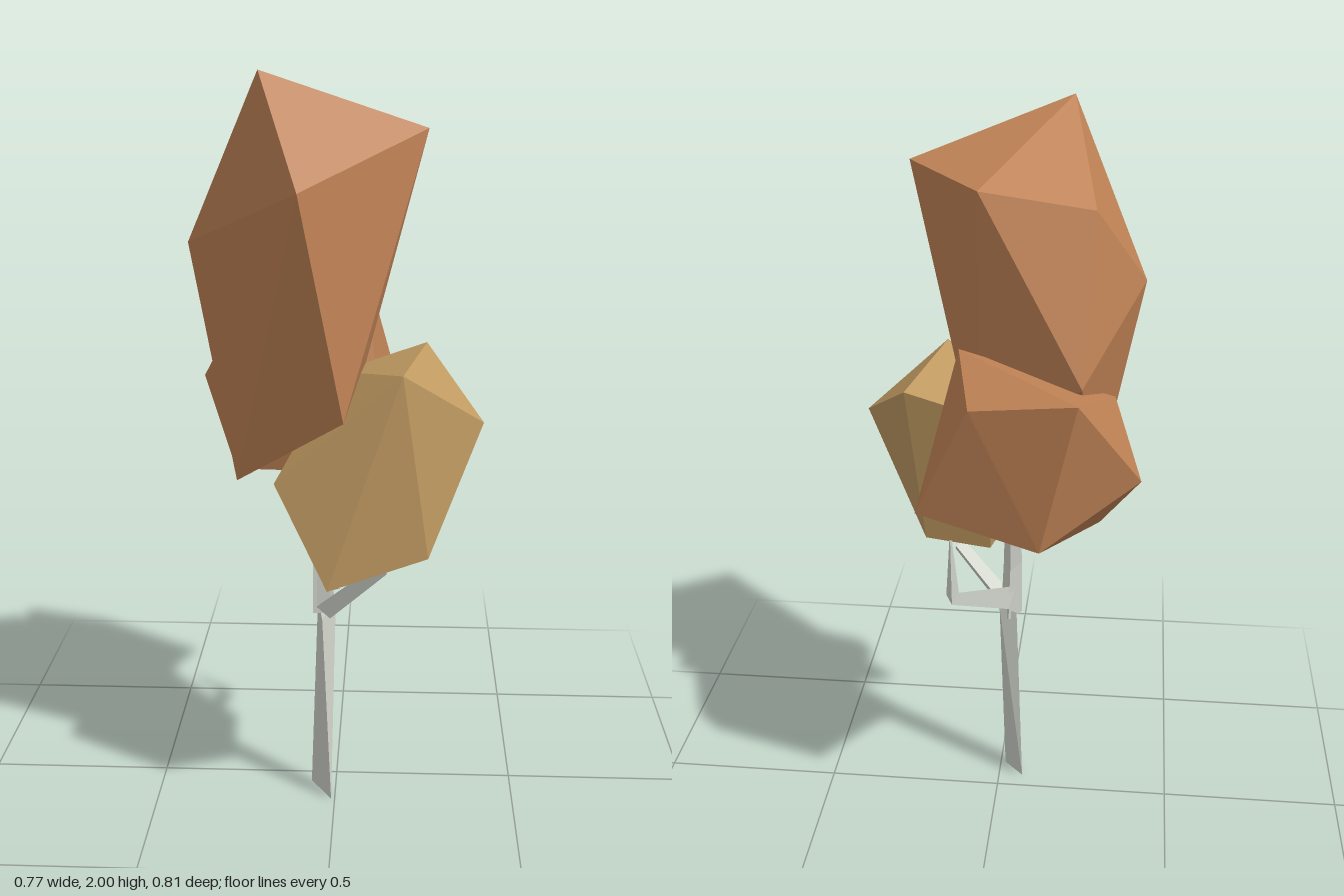
import * as THREE from 'three';
import { ConvexGeometry } from 'three/addons/geometries/ConvexGeometry.js';

const material = (name, color) => {
  const m = new THREE.MeshStandardMaterial({ color, flatShading: true });
  m.name = name;
  return m;
};

// Faceted solid wrapped round a few corner points
function facetedMesh(name, corners, mat) {
  const geometry = new ConvexGeometry(corners.map((c) => new THREE.Vector3(...c)));
  const mesh = new THREE.Mesh(geometry, mat);
  mesh.name = name;
  return mesh;
}

// Triangular cross-section round a centre, lying across the given direction
function ring(centre, direction, radius) {
  const turn = new THREE.Quaternion().setFromUnitVectors(new THREE.Vector3(0, 1, 0), direction);
  return [0, 1, 2].map((i) => {
    const a = (i * 2 * Math.PI) / 3 + 0.6;
    return new THREE.Vector3(Math.cos(a) * radius, 0, Math.sin(a) * radius)
      .applyQuaternion(turn).add(centre).toArray();
  });
}

// Three-sided branch along a path of [x, y, z, radius]
function branch(name, path, mat) {
  const group = new THREE.Group();
  group.name = name;
  const centres = path.map((p) => new THREE.Vector3(p[0], p[1], p[2]));
  const rings = path.map((p, i) => {
    const from = centres[Math.max(i - 1, 0)];
    const to = centres[Math.min(i + 1, path.length - 1)];
    return ring(centres[i], to.clone().sub(from).normalize(), p[3]);
  });
  for (let i = 0; i < rings.length - 1; i++) {
    group.add(facetedMesh(name + 'Segment', [...rings[i], ...rings[i + 1]], mat));
  }
  return group;
}

export function createModel() {
  const tree = new THREE.Group();
  tree.name = 'autumnTree';
  const bark = material('pale bark', 0xd0d3ca);
  const rust = material('rust leaves', 0xbf8255);
  const ochre = material('ochre leaves', 0xc09a62);

  // Trunk: a thin wedge at the ground, opening to a triangle at the fork
  tree.add(facetedMesh('trunk', [
    [-0.07, 0, 0.05], [-0.01, 0, 0.145], [-0.014, 0, 0.11],
    [-0.05, 0.57, 0.05], [-0.035, 0.54, 0.115], [0, 0.58, 0.06],
  ], bark));

  // Branches
  tree.add(branch('upperTrunk', [
    [-0.03, 0.55, 0.08, 0.035], [-0.035, 0.72, 0.065, 0.03], [-0.04, 1.0, 0.0, 0.022]], bark));
  tree.add(branch('crownBranch', [
    [-0.03, 0.58, 0.09, 0.022], [-0.035, 0.78, 0.09, 0.014], [-0.03, 1.0, 0.13, 0.012]], bark));
  tree.add(branch('frontBranch', [
    [-0.03, 0.56, 0.09, 0.03], [0.13, 0.72, 0.165, 0.022]], bark));
  tree.add(branch('backBranch', [
    [-0.02, 0.62, 0.06, 0.04], [0.11, 0.715, -0.13, 0.022], [0.11, 0.9, -0.15, 0.004]], bark));

  // Tall main crown
  tree.add(facetedMesh('tallCrown', [
    [-0.177, 2.0, 0.225], [0.232, 1.855, 0.09], [-0.075, 1.735, 0.405],
    [-0.378, 1.565, 0.063], [0.036, 1.83, -0.127], [-0.25, 1.78, -0.085],
    [-0.23, 1.365, -0.21], [-0.26, 0.94, 0.115], [0.03, 1.165, 0.33],
    [0.045, 1.1, -0.06],
  ], rust));

  // Smaller crown at the back
  tree.add(facetedMesh('backCrown', [
    [-0.23, 1.4, -0.405], [0.037, 1.355, -0.347], [0.183, 1.04, -0.275],
    [0.087, 1.425, -0.11], [-0.385, 1.135, -0.23], [-0.31, 1.28, -0.03],
    [-0.14, 0.99, -0.365], [-0.28, 0.92, -0.04], [-0.1, 0.92, -0.03],
    [0.11, 1.07, 0.02],
  ], rust));

  // Ochre crown at the front
  tree.add(facetedMesh('frontCrown', [
    [0.175, 1.29, 0.338], [0.24, 1.28, -0.056], [0.383, 1.13, 0.186],
    [-0.01, 0.73, 0.358], [0.245, 0.81, 0.325], [0.21, 0.79, 0.07],
    [0.03, 0.755, 0.09], [-0.145, 1.0, 0.31], [0, 1.2, -0.04],
  ], ochre));

  return tree;
}
